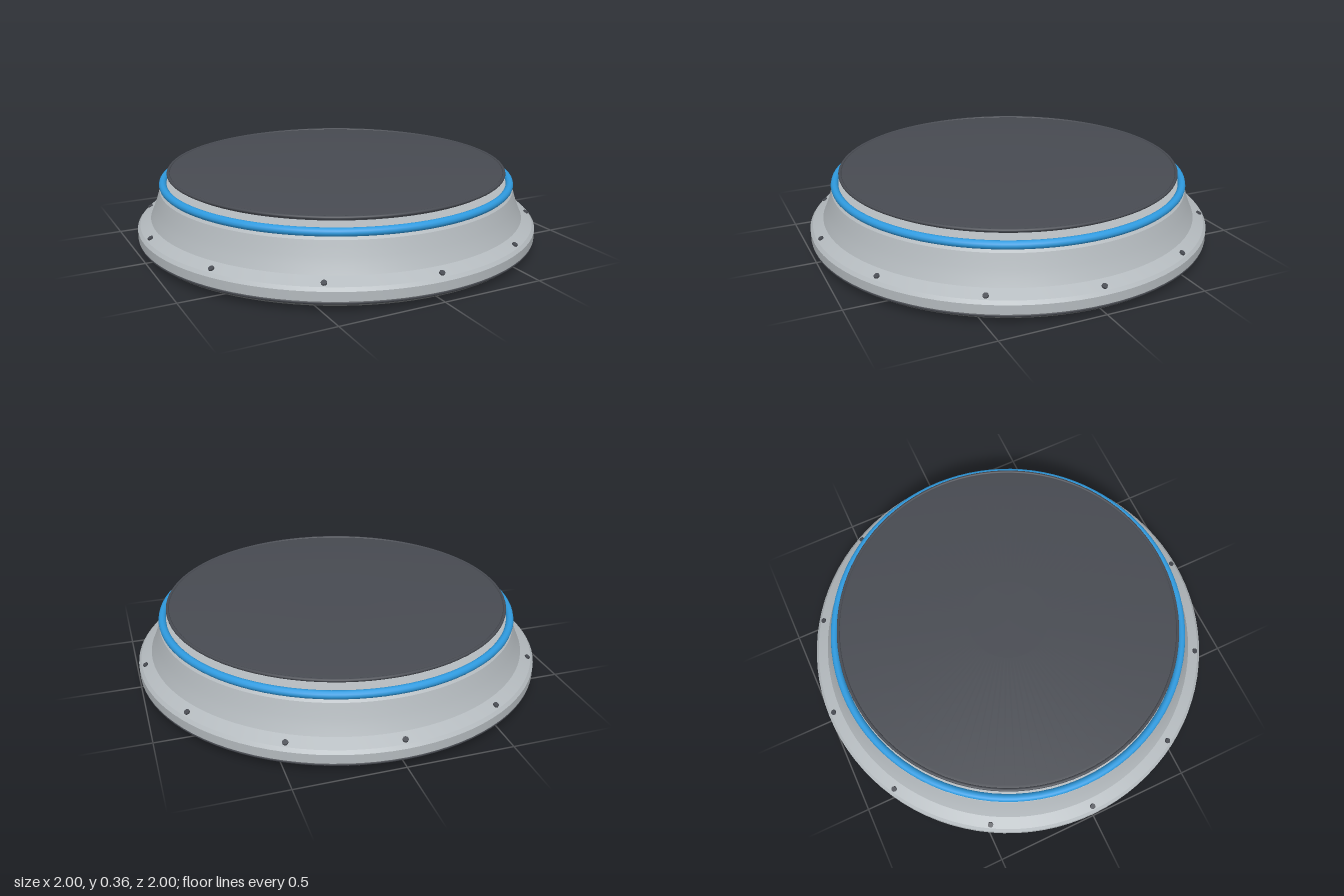
import * as THREE from 'three';
import { toCreasedNormals } from 'three/addons/utils/BufferGeometryUtils.js';

const SEGMENTS = 96;

const bodyMat = new THREE.MeshStandardMaterial({ color: 0xb4babe });
const darkMat = new THREE.MeshStandardMaterial({ color: 0x484b52 });
const baseMat = new THREE.MeshStandardMaterial({ color: 0x5a5d5f });
const blueMat = new THREE.MeshStandardMaterial({ color: 0x2f9be0 });

// Revolve a [radius, height] profile listed from the bottom centre to the top
function turned(name, profile, material) {
  const points = profile.map(([r, y]) => new THREE.Vector2(r, y));
  const geometry = toCreasedNormals(new THREE.LatheGeometry(points, SEGMENTS), 0.35);
  const mesh = new THREE.Mesh(geometry, material);
  mesh.name = name;
  return mesh;
}

function ring(name, radius, tube, y, material) {
  const mesh = new THREE.Mesh(new THREE.TorusGeometry(radius, tube, 12, SEGMENTS), material);
  mesh.name = name;
  mesh.rotation.x = Math.PI / 2;
  mesh.position.y = y;
  return mesh;
}

export function createModel() {
  const model = new THREE.Group();
  model.name = 'roundPlatform';

  // Underside with a shallow chamfer
  model.add(turned('underside', [[0, 0], [0.87, 0], [0.975, 0.022], [0.98, 0.036], [0, 0.036]], baseMat));

  // Dark seam around the foot
  model.add(ring('footSeam', 0.988, 0.009, 0.043, darkMat));

  // Flared housing: rim, bevel, concave wall and slightly raised deck
  model.add(turned('housing', [
    [0, 0.034], [0.985, 0.034], [0.998, 0.05], [0.998, 0.093], [0.985, 0.108], [0.932, 0.137],
    [0.917, 0.17], [0.902, 0.21], [0.889, 0.25], [0.882, 0.272],
    [0.865, 0.288], [0.845, 0.308], [0.62, 0.325], [0.2, 0.336], [0, 0.336],
  ], bodyMat));

  // Glowing trim around the shoulder
  model.add(ring('blueTrim', 0.865, 0.019, 0.301, blueMat));

  // Floating top plate with a stepped lower edge
  model.add(turned('topPlate', [
    [0, 0.336], [0.822, 0.336], [0.826, 0.346], [0.835, 0.348],
    [0.83, 0.356], [0.818, 0.358], [0.2, 0.363], [0, 0.363],
  ], darkMat));
  model.add(ring('topPlateRim', 0.836, 0.008, 0.353, darkMat));

  // Twelve rivets on the bevel
  const rivets = new THREE.Group();
  rivets.name = 'rivets';
  const rivetGeometry = new THREE.CylinderGeometry(0.013, 0.013, 0.012, 12);
  for (let i = 0; i < 12; i++) {
    const pivot = new THREE.Group();
    pivot.rotation.y = (i * Math.PI) / 6;
    const rivet = new THREE.Mesh(rivetGeometry, darkMat);
    rivet.name = 'rivet';
    rivet.position.set(0, 0.119, 0.968);
    rivet.rotation.x = 0.5;
    pivot.add(rivet);
    rivets.add(pivot);
  }
  model.add(rivets);

  return model;
}
